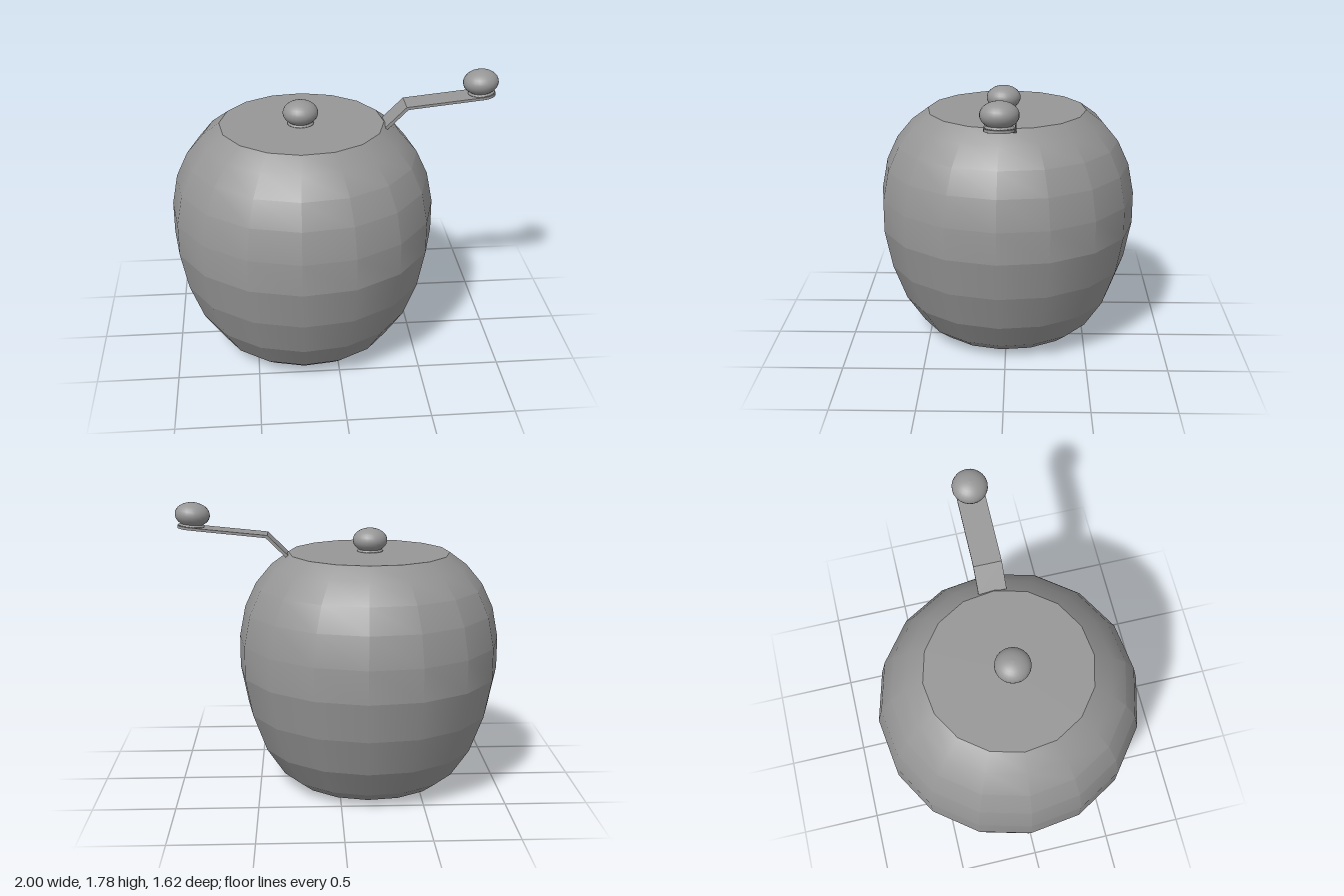
import * as THREE from 'three';
import { toCreasedNormals } from 'three/addons/utils/BufferGeometryUtils.js';

const smooth = new THREE.MeshStandardMaterial({ color: 0x969696 });
const faceted = new THREE.MeshStandardMaterial({ color: 0x969696, flatShading: true });
const CX = -0.19, CZ = 0.02; // jar axis in x, handle centre line in z
const SIDES = 16, TURN = -0.06;
const slope = 0.1;           // rise of the handle's upper arm
const vectors = (list) => list.map(([x, y]) => new THREE.Vector2(x, y));

function add(parent, name, geometry, material) {
  const mesh = new THREE.Mesh(geometry, material);
  mesh.name = name;
  parent.add(mesh);
  return mesh;
}

// Flattened ball on a small foot, standing on y = 0
function makeKnob(name) {
  const points = [[0, 0], [0.08, 0], [0.08, 0.006], [0.07, 0.014]];
  for (let i = 0; i <= 12; i++) {
    const a = THREE.MathUtils.lerp(-0.9, Math.PI / 2, i / 12);
    points.push([Math.max(0, 0.107 * Math.cos(a)), 0.071 + 0.075 * Math.sin(a)]);
  }
  const knob = new THREE.Group();
  knob.name = name;
  add(knob, name + 'Ball', new THREE.LatheGeometry(vectors(points), 24), smooth);
  return knob;
}

export function createModel() {
  const model = new THREE.Group();
  model.name = 'crankJar';

  const body = new THREE.Group();
  body.name = 'body';
  body.position.x = CX;
  model.add(body);

  // Lower body: smooth around, each ring doubled to keep a sharp edge between bands
  const lower = [[0.36, 0.003], [0.48, 0.03], [0.565, 0.095], [0.68, 0.27], [0.765, 0.5]];
  const lowerProfile = vectors([[0, 0], ...lower.flatMap((p) => [p, p]), [0.812, 0.74]]);
  add(body, 'lowerBody', new THREE.LatheGeometry(lowerProfile, SIDES, TURN), smooth);

  // Upper body and flat top, softly faceted
  const upperProfile = vectors([
    [0.812, 0.74], [0.812, 0.94], [0.775, 1.13], [0.705, 1.28], [0.605, 1.4],
    [0.5, 1.477], [0, 1.477],
  ]);
  const upper = new THREE.LatheGeometry(upperProfile, SIDES, TURN);
  add(body, 'upperBody', toCreasedNormals(upper, 0.4), smooth);

  // Knob on the middle of the lid
  const lidKnob = makeKnob('lidKnob');
  lidKnob.position.set(-0.197, 1.477, CZ);
  model.add(lidKnob);

  // Bent strip of the crank handle, extruded across its width
  const handle = new THREE.Group();
  handle.name = 'crankHandle';
  handle.position.z = CZ;
  model.add(handle);
  const width = 0.17, thick = 0.016;
  const tip = [0.9, 1.631];
  const strip = new THREE.Shape(vectors([
    [0.31, 1.453], [0.322, 1.453], [0.445, 1.575], [tip[0], tip[1] - thick / 2],
    [tip[0], tip[1] + thick / 2], [0.435, 1.591], [0.31, 1.468],
  ]));
  const stripGeometry = new THREE.ExtrudeGeometry(strip, { depth: width, bevelEnabled: false });
  add(handle, 'handleStrip', stripGeometry.translate(0, 0, -width / 2), faceted);

  // Rounded end of the strip and the grip knob standing on it
  const end = new THREE.Group();
  end.name = 'handleEnd';
  end.position.set(tip[0], tip[1], 0);
  end.rotation.z = slope;
  handle.add(end);
  add(end, 'roundedTip',
    new THREE.CylinderGeometry(width / 2, width / 2, thick, 12, 1, false, 0, Math.PI), smooth);
  const gripKnob = makeKnob('gripKnob');
  gripKnob.position.y = thick / 2;
  end.add(gripKnob);

  return model;
}
